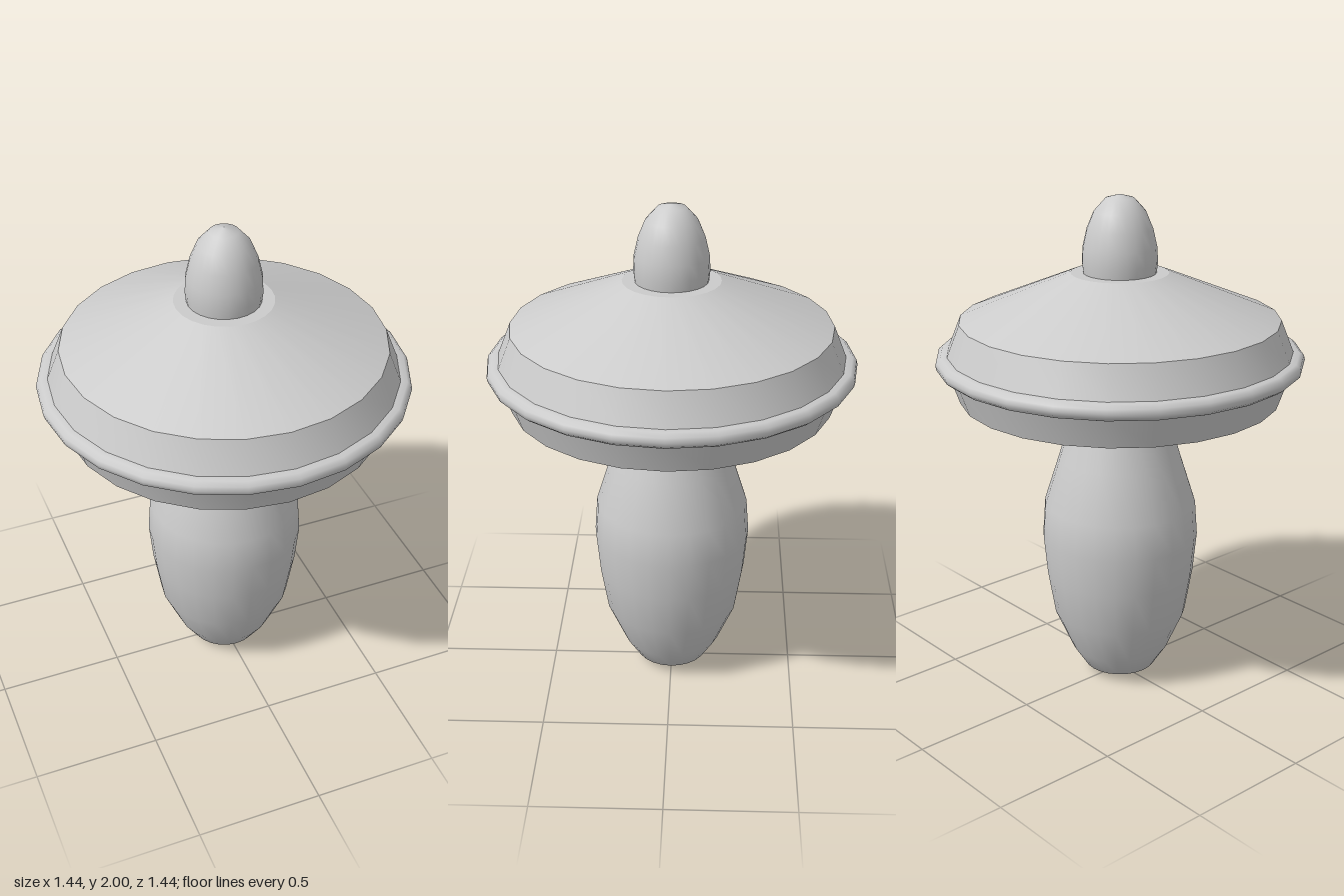
import * as THREE from 'three';
import { toCreasedNormals } from 'three/addons/utils/BufferGeometryUtils.js';

const SIDES = 24;

export function createModel() {
  const group = new THREE.Group();
  const material = new THREE.MeshStandardMaterial({ color: 0xcccccc });

  // Turned part from [radius, height] pairs, listed bottom to top
  function turned(name, profile, crease) {
    const points = profile.map(([r, y]) => new THREE.Vector2(r, y));
    let geometry = new THREE.LatheGeometry(points, SIDES);
    if (crease) geometry = toCreasedNormals(geometry, crease);
    const mesh = new THREE.Mesh(geometry, material);
    mesh.name = name;
    group.add(mesh);
  }

  // Swelling body with a small blunt foot
  turned('body', [
    [0, 0], [0.08, 0.005], [0.145, 0.035], [0.2, 0.12], [0.27, 0.28], [0.3, 0.46],
    [0.315, 0.62], [0.305, 0.76], [0.245, 0.95], [0.18, 1.17],
  ]);

  // Broad faceted disc with a sloping top
  turned('disc', [
    [0, 1.165], [0.5, 1.165], [0.63, 1.21], [0.675, 1.34], [0.675, 1.395],
    [0.625, 1.52], [0.19, 1.7], [0, 1.7],
  ], 0.3);

  // Thin bead around the edge of the disc
  turned('rim', [
    [0.66, 1.335], [0.7, 1.335], [0.716, 1.348], [0.72, 1.365], [0.716, 1.382],
    [0.7, 1.396], [0.66, 1.396],
  ], 0.9);

  // Rounded knob on top
  turned('knob', [
    [0.14, 1.69], [0.146, 1.74], [0.143, 1.8], [0.127, 1.87], [0.1, 1.935],
    [0.055, 1.985], [0, 2],
  ]);

  return group;
}
